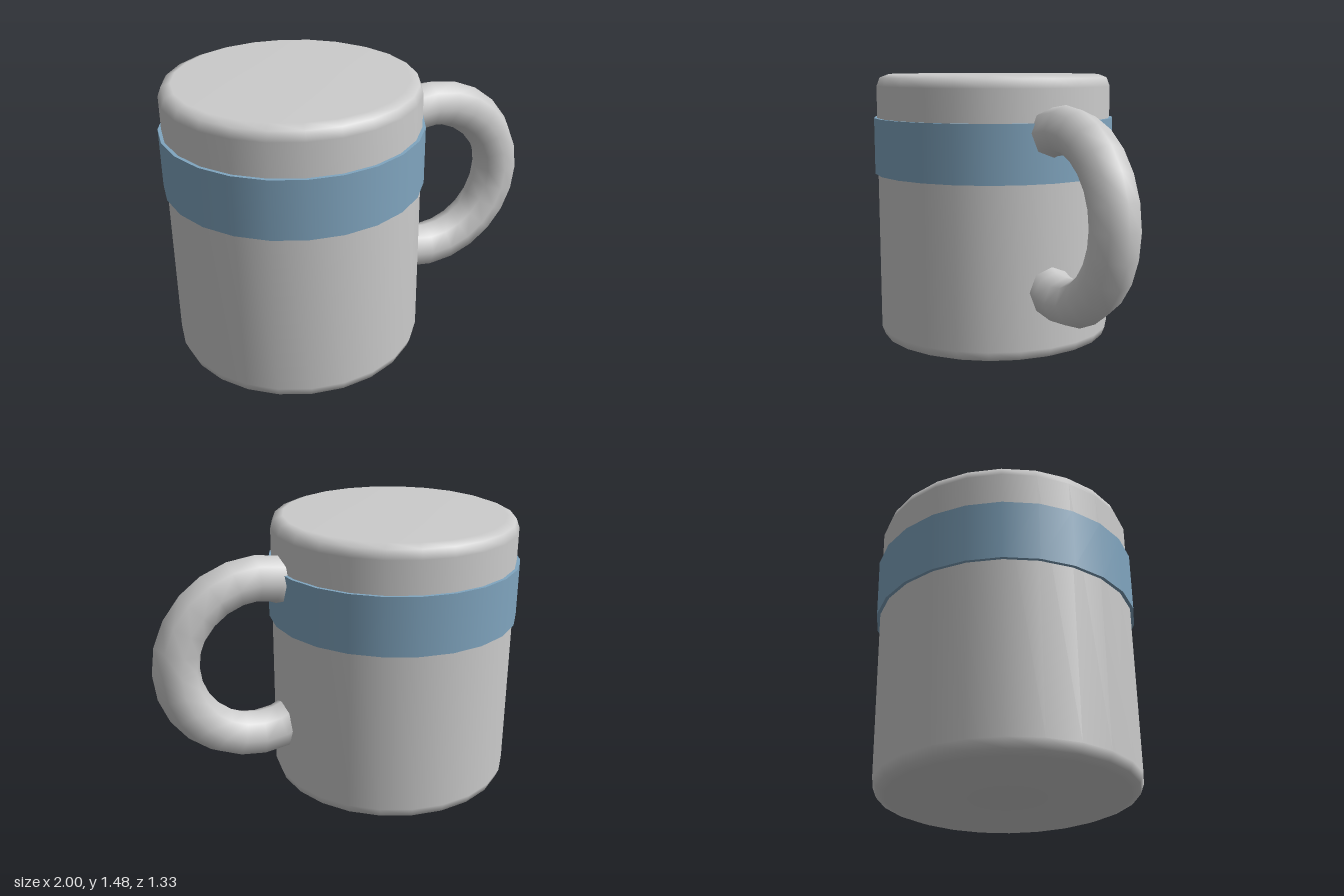
import * as THREE from 'three';

const SEGMENTS = 24;
const BODY_X = -0.333;
const HEIGHT = 1.475;

export function createModel() {
  const model = new THREE.Group();
  model.name = 'mug';
  const grey = new THREE.MeshStandardMaterial({ color: 0xcccccc });
  const blue = new THREE.MeshStandardMaterial({ color: 0x80a5bf });

  const add = (name, geometry, material, x, y) => {
    const mesh = new THREE.Mesh(geometry, material);
    mesh.name = name;
    mesh.position.set(x, y, 0);
    model.add(mesh);
    return mesh;
  };

  // Closed body with softly bevelled rims, mirrored bottom to top
  const rim = [[0, 0], [0.585, 0], [0.632, 0.018], [0.65, 0.065]];
  const profile = [
    ...rim.map(([r, y]) => new THREE.Vector2(r, y)),
    ...rim.slice().reverse().map(([r, y]) => new THREE.Vector2(r, HEIGHT - y)),
  ];
  add('body', new THREE.LatheGeometry(profile, SEGMENTS), grey, BODY_X, 0);

  // Coloured band standing slightly proud of the wall
  add('band', new THREE.CylinderGeometry(0.667, 0.667, 0.306, SEGMENTS), blue, BODY_X, 1.085);

  // Handle: part of a ring whose ends sink into the body
  const arc = THREE.MathUtils.degToRad(240);
  const handle = add('handle', new THREE.TorusGeometry(0.432, 0.123, 8, 16, arc), grey, 0.443, 0.777);
  handle.rotation.z = -arc / 2;

  return model;
}
